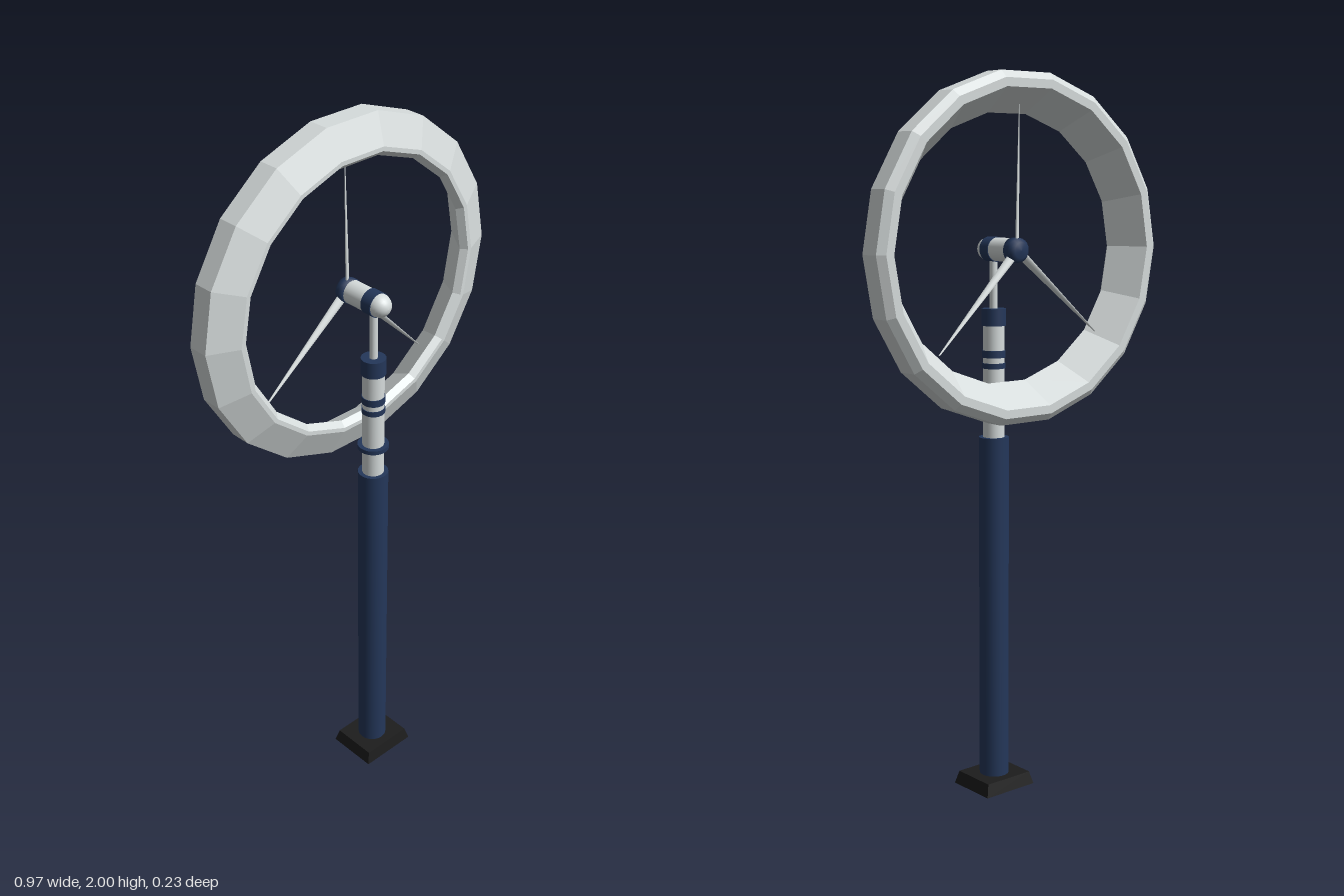
import * as THREE from 'three';

const PALE = 0xd6dcdc, NAVY = 0x24375a, BLACK = 0x1c1c1c;

function mesh(name, geometry, color, flatShading = false) {
  const m = new THREE.Mesh(geometry, new THREE.MeshStandardMaterial({ color, flatShading }));
  m.name = name;
  return m;
}

// Upright cylinder between two heights
function column(name, r, y0, y1, color, sides = 24) {
  const m = mesh(name, new THREE.CylinderGeometry(r, r, y1 - y0, sides), color);
  m.position.y = (y0 + y1) / 2;
  return m;
}

// Solid of revolution about the z axis, profile as [radius, z] with z rising
function turned(points, sides, phiStart = 0) {
  const profile = points.map(([r, z]) => new THREE.Vector2(r, z));
  return new THREE.LatheGeometry(profile, sides, phiStart).rotateX(Math.PI / 2);
}

export function createModel() {
  const model = new THREE.Group();
  model.name = 'windTurbine';
  const X = -0.004, HUB_Y = 1.538, TOWER_Z = 0.04;

  // Tower, standing in front of the ring
  const tower = new THREE.Group();
  tower.name = 'tower';
  tower.position.set(X, 0, TOWER_Z);
  const foot = mesh('base', new THREE.CylinderGeometry(
    0.076 * Math.SQRT2, 0.086 * Math.SQRT2, 0.036, 4).rotateY(Math.PI / 4), BLACK, true);
  foot.scale.z = 0.87;
  foot.position.y = 0.018;
  tower.add(
    foot,
    column('lowerMast', 0.042, 0.03, 1.02, NAVY),
    column('upperMast', 0.03, 1.02, 1.34, PALE),
    column('lowerBand', 0.043, 1.098, 1.11, NAVY),
    column('middleBand', 0.032, 1.212, 1.227, NAVY),
    column('upperBand', 0.032, 1.242, 1.262, NAVY),
    column('collar', 0.034, 1.33, 1.377, NAVY),
    column('post', 0.011, 1.37, 1.53, PALE, 16)
  );
  model.add(tower);

  // Nacelle with rounded nose and coloured band
  const nacelle = new THREE.Group();
  nacelle.name = 'nacelle';
  nacelle.position.set(X, HUB_Y, 0);
  const nose = [];
  for (let i = 0; i <= 8; i++) {
    const a = (i / 8) * Math.PI / 2;
    nose.push([0.032 * Math.cos(a), 0.058 + 0.036 * Math.sin(a)]);
  }
  nacelle.add(
    mesh('nacelleBody', new THREE.CylinderGeometry(0.032, 0.032, 0.07, 24)
      .rotateX(Math.PI / 2).translate(0, 0, -0.008), PALE),
    mesh('nacelleBand', new THREE.CylinderGeometry(0.034, 0.034, 0.034, 24)
      .rotateX(Math.PI / 2).translate(0, 0, 0.043), NAVY),
    mesh('nose', turned(nose, 24), PALE)
  );
  model.add(nacelle);

  // Rotor hub and three slender tapered blades
  const rotor = new THREE.Group();
  rotor.name = 'rotor';
  rotor.position.set(X, HUB_Y, -0.058);
  rotor.add(mesh('hub', turned(
    [[0, -0.02], [0.022, -0.018], [0.032, -0.011], [0.034, 0], [0.034, 0.018], [0, 0.018]], 20), NAVY));
  const blades = [[91, 0.382], [219, 0.372], [315, 0.374]];
  blades.forEach(([deg, length], i) => {
    const g = new THREE.CylinderGeometry(0.002, 0.013, length - 0.015, 10);
    g.scale(1, 1, 0.4).rotateY(0.7).translate(0, (length + 0.015) / 2, 0);
    const blade = mesh('blade' + (i + 1), g, PALE);
    blade.rotation.z = THREE.MathUtils.degToRad(deg - 90);
    rotor.add(blade);
  });
  model.add(rotor);

  // Faceted diffuser ring: narrow throat at the front, flaring to the back
  const section = [
    [0.44, -0.114], [0.464, -0.114], [0.484, -0.098], [0.484, -0.04],
    [0.402, -0.003], [0.39, -0.003], [0.375, -0.02], [0.44, -0.114]
  ];
  const ring = mesh('diffuserRing', turned(section, 18, Math.PI / 18), PALE, true);
  ring.scale.y = 0.97;
  ring.position.y = HUB_Y + 0.001;
  model.add(ring);

  return model;
}
